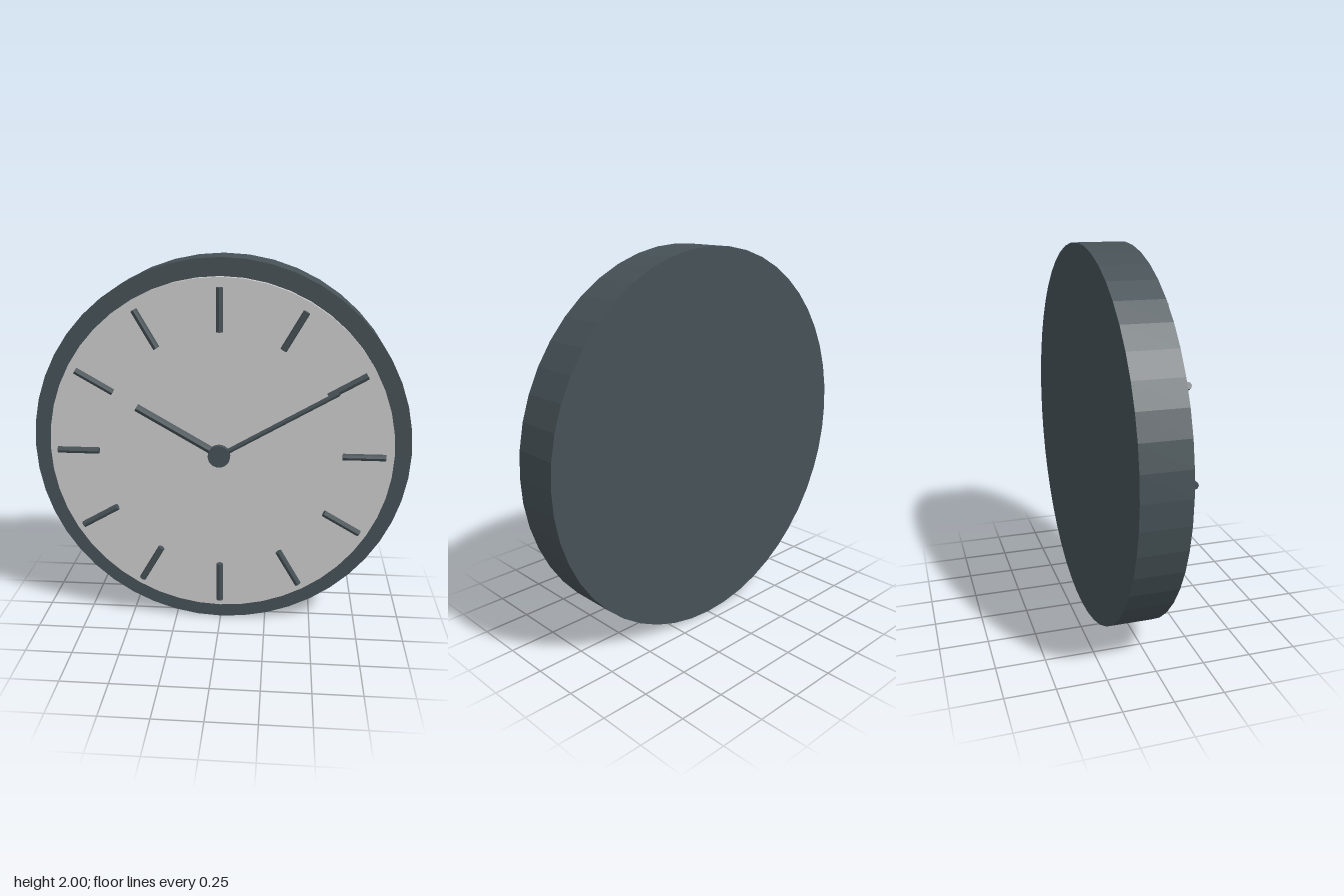
import * as THREE from 'three';

const dark = new THREE.MeshStandardMaterial({ color: 0x465156, flatShading: true });
const pale = new THREE.MeshStandardMaterial({ color: 0xcccccc, flatShading: true });
const CENTRE_Y = 1;

// Disc facing +z between two depths
function disc(name, radius, back, front, sides, material) {
  const geometry = new THREE.CylinderGeometry(radius, radius, front - back, sides);
  geometry.rotateX(Math.PI / 2);
  const mesh = new THREE.Mesh(geometry, material);
  mesh.name = name;
  mesh.position.set(0, CENTRE_Y, (front + back) / 2);
  return mesh;
}

// Thin rod lying over the dial, from inner to outer radius at a clockwise angle
function rod(name, inner, outer, radius, z, hour) {
  const geometry = new THREE.CylinderGeometry(radius, radius, outer - inner, 8);
  geometry.translate(0, (inner + outer) / 2, 0);
  const mesh = new THREE.Mesh(geometry, dark);
  mesh.name = name;
  mesh.position.set(0, CENTRE_Y, z);
  mesh.rotation.z = -hour * Math.PI / 6;
  return mesh;
}

export function createModel() {
  const clock = new THREE.Group();
  clock.name = 'wallClock';

  // Case and dial
  clock.add(disc('case', 1, -0.18, 0.066, 48, dark));
  clock.add(disc('dial', 0.908, 0.05, 0.1, 48, pale));

  // Twelve hour markers
  const markers = new THREE.Group();
  markers.name = 'hourMarkers';
  for (let hour = 0; hour < 12; hour++) {
    markers.add(rod('hourMarker', 0.74 - 0.1, 0.86, 0.018, 0.126, hour));
  }
  clock.add(markers);

  // Hands and hub
  clock.add(rod('hourHand', 0, 0.495, 0.021, 0.148, 10));
  clock.add(rod('minuteHand', 0, 0.695, 0.0135, 0.164, 2));
  clock.add(disc('hub', 0.058, 0.15, 0.18, 24, dark));

  return clock;
}
